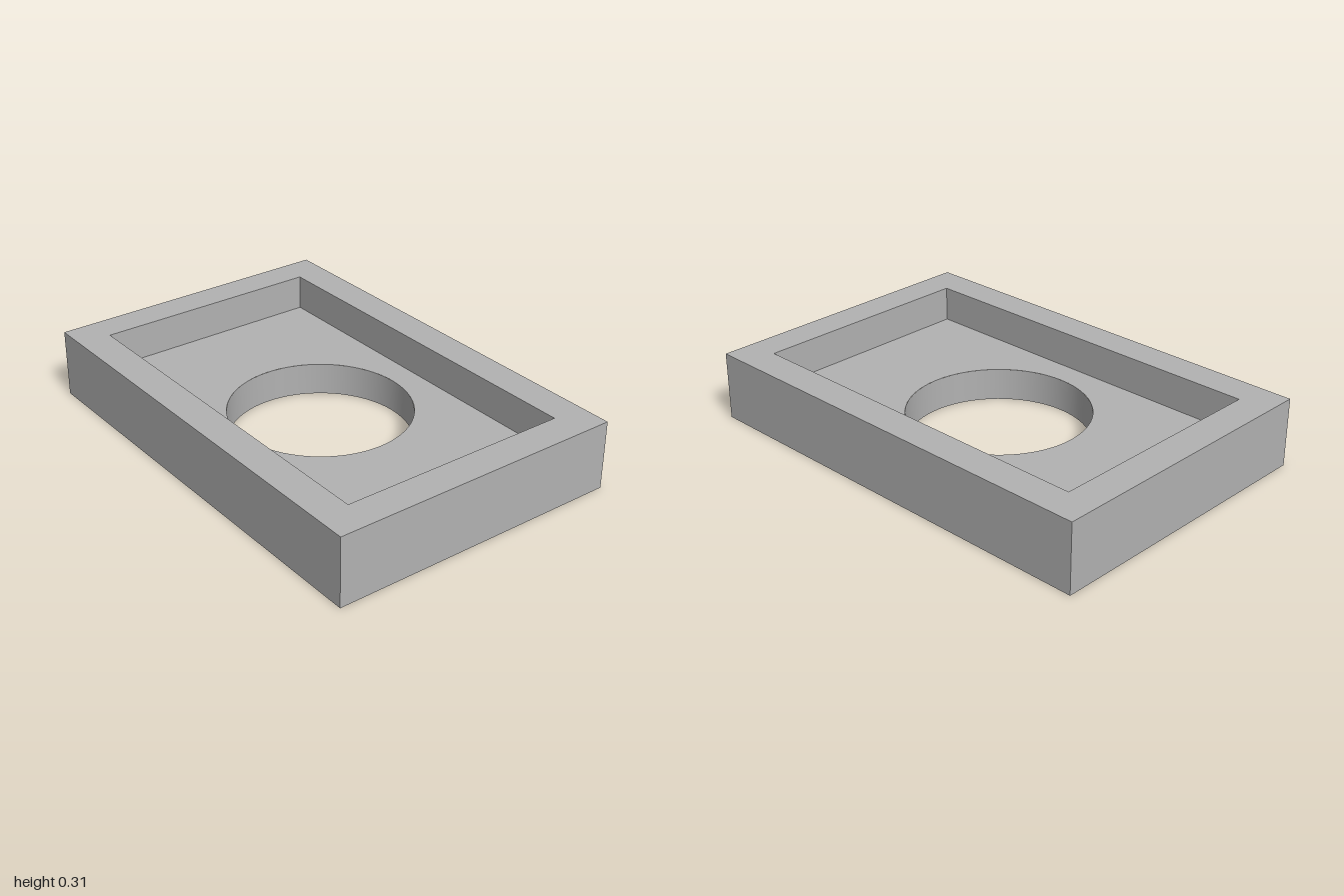
import * as THREE from 'three';
import { mergeGeometries } from 'three/addons/utils/BufferGeometryUtils.js';

const HX = 1, HZ = 0.666;           // outer half sizes
const WALL = 0.147, FLOOR = 0.147;  // rim width and floor thickness
const HEIGHT = 0.307;
const RADIUS = 0.398, SEGMENTS = 64;

const rectangle = (Type, x, z) => new Type([
  new THREE.Vector2(-x, -z), new THREE.Vector2(x, -z),
  new THREE.Vector2(x, z), new THREE.Vector2(-x, z),
]);

// Horizontal face with a hole, facing up or down
function flatFace(x, z, hole, y, up) {
  const shape = rectangle(THREE.Shape, x, z);
  shape.holes.push(hole);
  return new THREE.ShapeGeometry(shape, SEGMENTS)
    .rotateX(up ? -Math.PI / 2 : Math.PI / 2)
    .translate(0, y, 0);
}

// Four upright faces around a rectangle, facing outward or inward
function wallRing(x, z, y0, y1, inward) {
  const sides = [];
  for (let i = 0; i < 4; i++) {
    const width = 2 * (i % 2 ? z : x);
    const distance = i % 2 ? x : z;
    const side = new THREE.PlaneGeometry(width, y1 - y0);
    if (inward) side.rotateY(Math.PI);
    side.translate(0, (y0 + y1) / 2, distance).rotateY(i * Math.PI / 2);
    sides.push(side);
  }
  return mergeGeometries(sides);
}

export function createModel() {
  const group = new THREE.Group();
  group.name = 'rectangularTrayWithRoundOpening';
  const grey = new THREE.MeshStandardMaterial({ name: 'grey', color: 0xb2b2b2 });
  const add = (name, geometry) => {
    const mesh = new THREE.Mesh(geometry, grey);
    mesh.name = name;
    group.add(mesh);
  };

  const ix = HX - WALL, iz = HZ - WALL;
  const circle = new THREE.Path().absarc(0, 0, RADIUS, 0, Math.PI * 2, true);

  // Rim and walls
  add('outerWalls', wallRing(HX, HZ, 0, HEIGHT, false));
  add('innerWalls', wallRing(ix, iz, FLOOR, HEIGHT, true));
  add('rimTop', flatFace(HX, HZ, rectangle(THREE.Path, ix, iz), HEIGHT, true));

  // Pierced floor
  add('recessFloor', flatFace(ix, iz, circle, FLOOR, true));
  add('underside', flatFace(HX, HZ, circle, 0, false));

  // Round opening, its wall facing the centre
  add('openingWall', new THREE.LatheGeometry(
    [new THREE.Vector2(RADIUS, FLOOR), new THREE.Vector2(RADIUS, 0)], SEGMENTS));

  return group;
}
